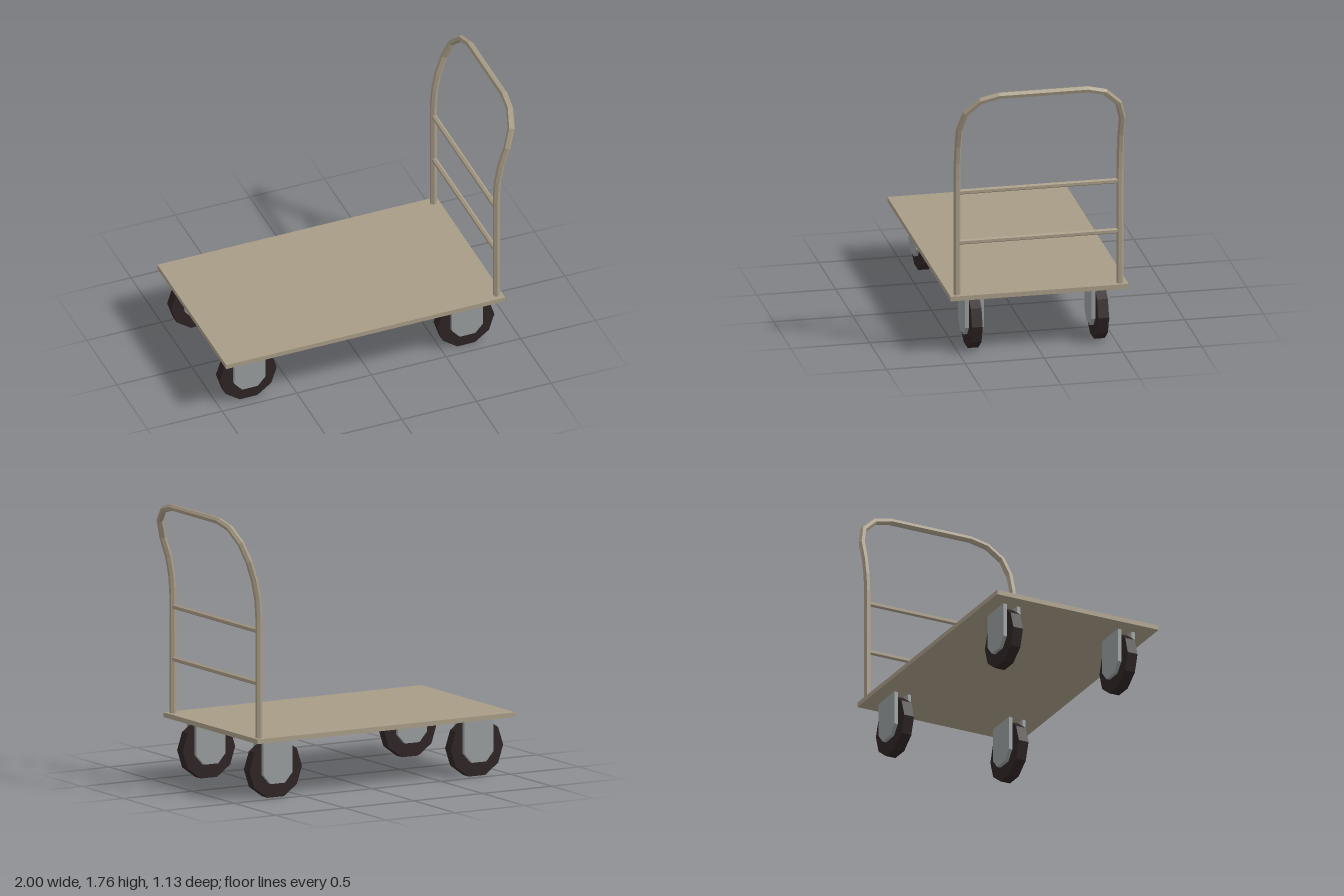
import * as THREE from 'three';

// Curve that passes through straight runs, with mitred tangents at the bends
class BentPath extends THREE.Curve {
  constructor(points) {
    super();
    this.points = points;
  }
  getPointAt(u) {
    return this.points[Math.round(u * (this.points.length - 1))].clone();
  }
  getTangentAt(u) {
    const p = this.points, i = Math.round(u * (p.length - 1));
    const t = new THREE.Vector3();
    if (i > 0) t.add(p[i].clone().sub(p[i - 1]).normalize());
    if (i < p.length - 1) t.add(p[i + 1].clone().sub(p[i]).normalize());
    return t.normalize();
  }
}

function flatMaterial(name, color) {
  const material = new THREE.MeshStandardMaterial({ color, flatShading: true });
  material.name = name;
  return material;
}

export function createModel() {
  const model = new THREE.Group();
  model.name = 'platformTrolley';
  const tan = flatMaterial('tan paint', 0xa89c86);
  const steel = flatMaterial('grey steel', 0x979c9c);
  const rubber = flatMaterial('dark rubber', 0x2e2424);

  const add = (parent, name, geometry, material, x = 0, y = 0, z = 0) => {
    const mesh = new THREE.Mesh(geometry, material);
    mesh.name = name;
    mesh.position.set(x, y, z);
    parent.add(mesh);
    return mesh;
  };

  // Deck
  add(model, 'deck', new THREE.BoxGeometry(1.87, 0.03, 1.13), tan, -0.065, 0.385, 0);

  // Push handle: one half as [x, y, z], mirrored to the other side
  const half = [
    [0.83, 0.39, 0.517], [0.83, 1.15, 0.517], [0.838, 1.27, 0.517], [0.861, 1.39, 0.517],
    [0.902, 1.515, 0.517], [0.942, 1.63, 0.485], [0.969, 1.715, 0.395], [0.978, 1.744, 0.28],
  ];
  const path = [...half, ...half.slice().reverse().map(([x, y, z]) => [x, y, -z])]
    .map((p) => new THREE.Vector3(...p));
  add(model, 'handle', new THREE.TubeGeometry(new BentPath(path), path.length - 1, 0.022, 6), tan);

  // Crossbars
  for (const y of [0.743, 1.073]) {
    const bar = new THREE.CylinderGeometry(0.017, 0.017, 1.02, 6).rotateX(Math.PI / 2);
    add(model, 'crossbar', bar, tan, 0.83, y, 0);
  }

  // Caster side plate with clipped lower corners
  const outline = new THREE.Shape([
    [-0.105, 0.37], [-0.105, 0.15], [-0.052, 0.09], [0.052, 0.09], [0.105, 0.15], [0.105, 0.37],
  ].map(([x, y]) => new THREE.Vector2(x, y)));
  const plate = new THREE.ExtrudeGeometry(outline, { depth: 0.024, bevelEnabled: false });
  plate.translate(0, 0, -0.012);

  // Ten-sided wheel standing on a flat
  const wheel = new THREE.CylinderGeometry(0.19, 0.19, 0.068, 10);
  wheel.rotateY(Math.PI / 10).rotateX(Math.PI / 2);
  wheel.computeBoundingBox();
  if (wheel.boundingBox.min.y < -0.185) wheel.rotateZ(Math.PI / 10);

  // Four casters
  for (const x of [-0.794, 0.664]) {
    for (const z of [0.392, -0.41]) {
      const caster = new THREE.Group();
      caster.name = 'caster';
      caster.position.set(x, 0, z);
      add(caster, 'wheel', wheel, rubber, 0, 0.181, 0);
      for (const side of [-1, 1]) add(caster, 'forkPlate', plate, steel, 0, 0, side * 0.047);
      model.add(caster);
    }
  }
  return model;
}
